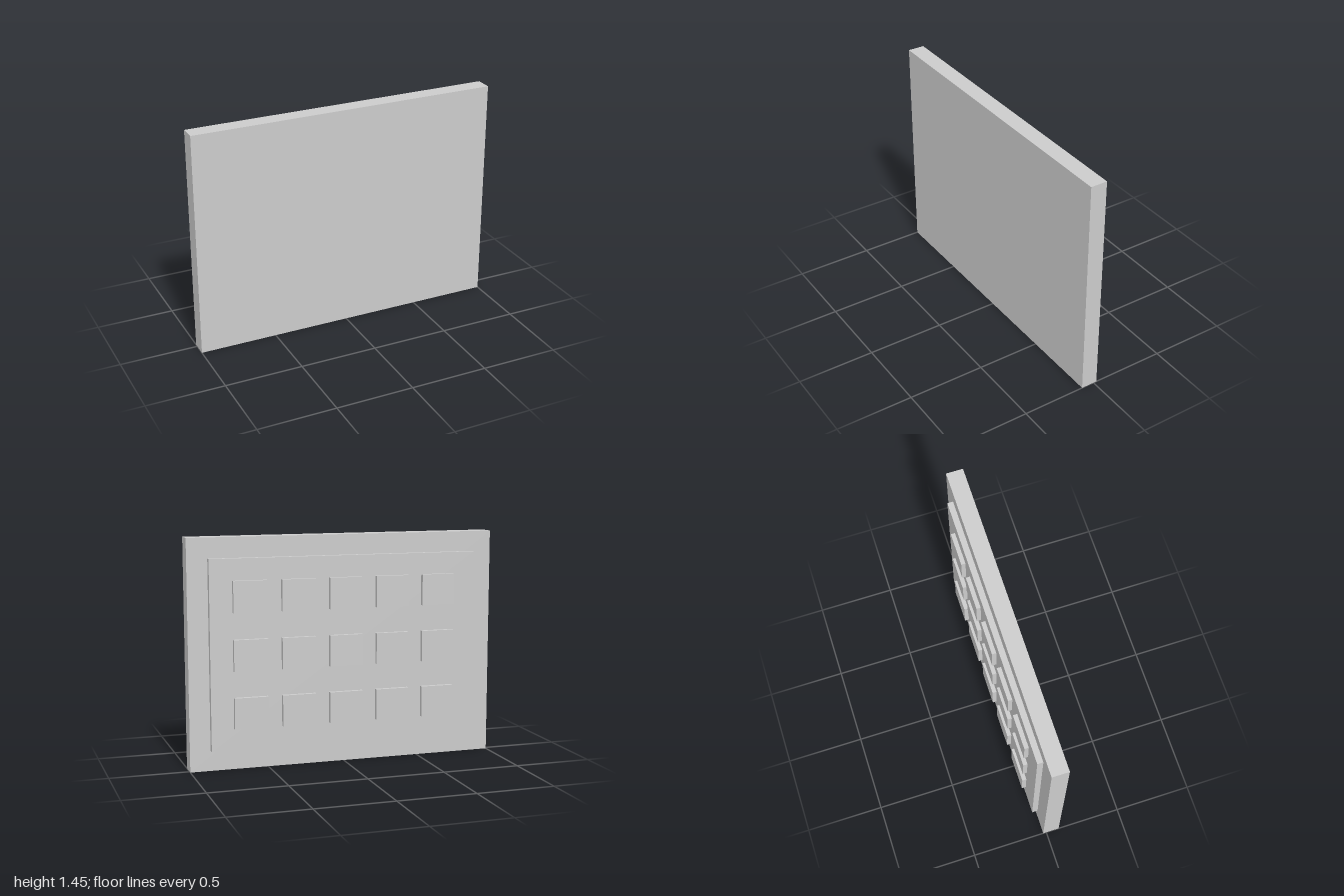
import * as THREE from 'three';

const material = new THREE.MeshStandardMaterial({ color: 0xcccccc, flatShading: true });

// Box centred on x, y and spanning zBack..zFront
function addBox(parent, name, w, h, x, y, zBack, zFront) {
  const mesh = new THREE.Mesh(new THREE.BoxGeometry(w, h, zFront - zBack), material);
  mesh.name = name;
  mesh.position.set(x, y, (zBack + zFront) / 2);
  parent.add(mesh);
  return mesh;
}

export function createModel() {
  const model = new THREE.Group();
  model.name = 'panel';
  const height = 1.454;
  const midY = height / 2;

  // Plain front slab
  addBox(model, 'frontSlab', 2, height, 0, midY, -0.022, 0.086);

  // Raised plate on the back
  addBox(model, 'backPlate', 1.74, 1.197, 0, midY, -0.059, -0.022);

  // Five by three grid of raised tiles on the plate
  const tiles = new THREE.Group();
  tiles.name = 'backTiles';
  for (let row = -1; row <= 1; row++) {
    for (let col = -2; col <= 2; col++) {
      addBox(tiles, 'backTile', 0.217, 0.198, col * 0.309, midY + row * 0.3635, -0.086, -0.059);
    }
  }
  model.add(tiles);

  return model;
}
